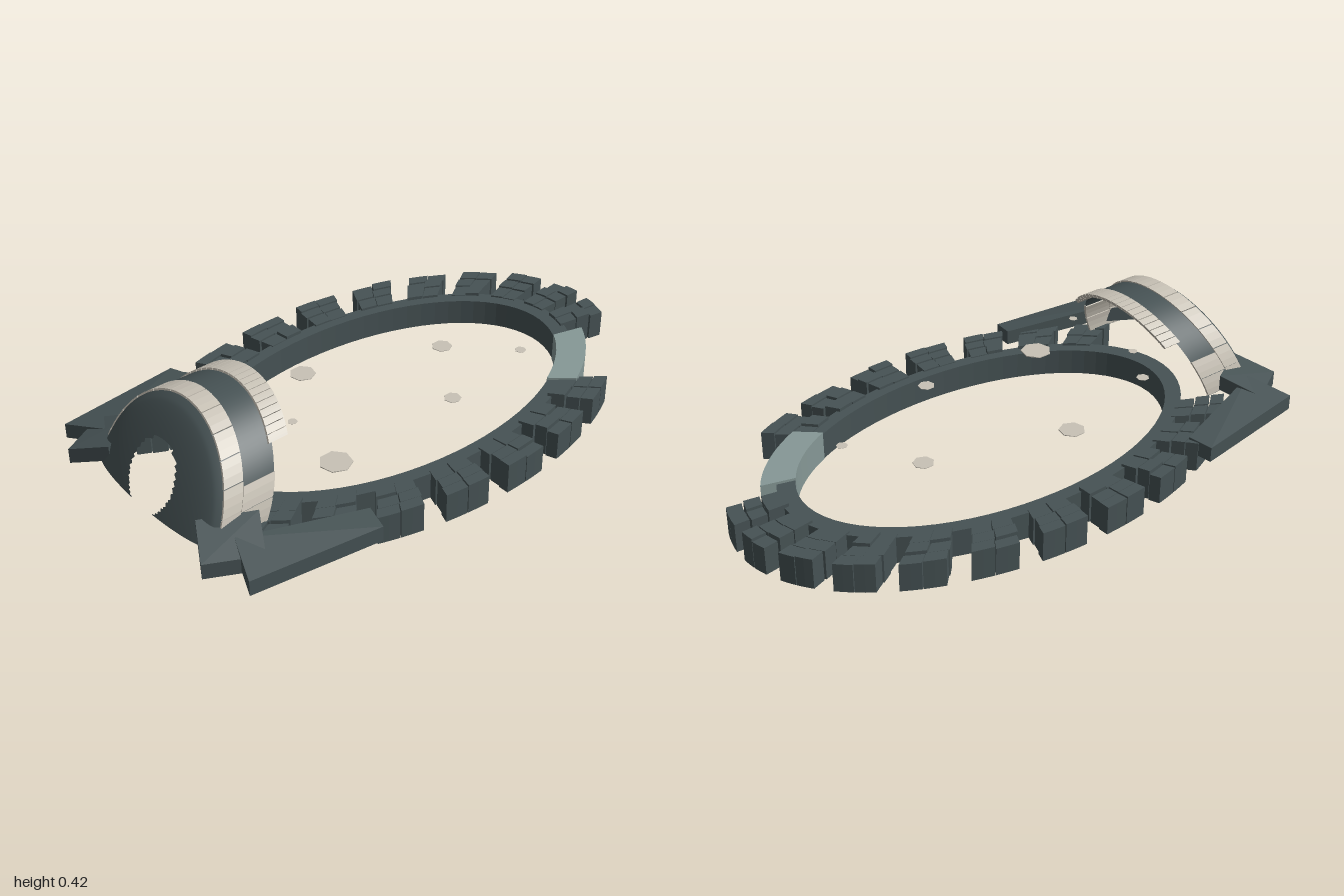
import * as THREE from 'three';
import { ConvexGeometry } from 'three/addons/geometries/ConvexGeometry.js';

const DEG = Math.PI / 180;
const dark = new THREE.MeshStandardMaterial({ color: 0x465254 });
const darkShell = new THREE.MeshStandardMaterial({ color: 0x465254, side: THREE.DoubleSide });
const pale = new THREE.MeshStandardMaterial({ color: 0x869896 });
const cream = new THREE.MeshStandardMaterial({ color: 0xc8c2b6 });

function add(parent, name, geometry, material) {
  const mesh = new THREE.Mesh(geometry, material);
  mesh.name = name;
  parent.add(mesh);
  return mesh;
}

// Point on the oval plan: s = 0 on the inner wall, 1 on the outer edge
function ovalPoint(deg, s) {
  const a = deg * DEG;
  return new THREE.Vector2(0.03 + (0.73 + 0.24 * s) * Math.cos(a), (0.43 + 0.175 * s) * Math.sin(a));
}

function ovalArc(a0, a1, s, n) {
  return Array.from({ length: n + 1 }, (_, i) => ovalPoint(a0 + (a1 - a0) * i / n, s));
}

function raise(shape, height) {
  const g = new THREE.ExtrudeGeometry(shape, { depth: height, bevelEnabled: false });
  return g.rotateX(-Math.PI / 2);
}

function ovalSector(a0, a1, s0, s1, height, n = 2) {
  return raise(new THREE.Shape([...ovalArc(a0, a1, s1, n), ...ovalArc(a1, a0, s0, n)]), height);
}

// The arch leans forward: x grows with height
const BASE = 0.1, RADIUS = 0.312, LEAN = 0.45;
function lean(g) {
  const p = g.attributes.position;
  for (let i = 0; i < p.count; i++) p.setX(i, p.getX(i) + LEAN * (p.getY(i) - BASE));
  g.computeVertexNormals();
  return g;
}

// Half-round sheet swept over an [x, radius] profile
function archSheet(profile, cols, rows) {
  const g = new THREE.PlaneGeometry(1, 1, cols, rows);
  const p = g.attributes.position;
  for (let i = 0; i < p.count; i++) {
    const a = (p.getX(i) + 0.5) * Math.PI;
    const [x, r] = profile(p.getY(i) + 0.5);
    p.setXYZ(i, x, BASE + r * Math.sin(a), r * Math.cos(a));
  }
  return g;
}

// Curved facing slab on the arch, from angle a0 to a1 and x0 to x1
function archPanel(a0, a1, x0, x1, ri, ro) {
  const pts = [];
  const n = 3;
  for (let i = 0; i <= n; i++) {
    const a = (a0 + (a1 - a0) * i / n) * DEG;
    pts.push(new THREE.Vector2(ro * Math.cos(a), ro * Math.sin(a)));
  }
  for (let i = n; i >= 0; i--) {
    const a = (a0 + (a1 - a0) * i / n) * DEG;
    pts.push(new THREE.Vector2(ri * Math.cos(a), ri * Math.sin(a)));
  }
  const g = new THREE.ExtrudeGeometry(new THREE.Shape(pts), { depth: x1 - x0, bevelEnabled: false });
  return lean(g.rotateY(Math.PI / 2).translate(x0, BASE, 0));
}

function slab(topCorners, thickness, side) {
  const pts = [];
  for (const [x, y, z] of topCorners) {
    pts.push(new THREE.Vector3(x, y, z * side), new THREE.Vector3(x, y - thickness, z * side));
  }
  return new ConvexGeometry(pts);
}

export function createModel() {
  const model = new THREE.Group();
  model.name = 'arena';

  // Inner oval wall
  const wall = new THREE.Shape(ovalArc(0, 360, 0.27, 72).slice(0, -1));
  wall.holes.push(new THREE.Path(ovalArc(360, 0, 0, 72).slice(0, -1)));
  add(model, 'innerWall', raise(wall, 0.097), dark);

  // Seating stands: three rows of two blocks, every 15 degrees
  const stands = new THREE.Group();
  stands.name = 'stands';
  model.add(stands);
  const rows = [[0.2, 0.5], [0.525, 0.755], [0.78, 1]];
  for (let angle = -145; angle <= 140; angle += 15) {
    if (angle === -25 || angle === -40) continue;
    const stand = new THREE.Group();
    stand.name = 'stand';
    stands.add(stand);
    rows.forEach(([s0, s1], r) => {
      for (const k of [0, 1]) {
        const start = angle - 5 + k * 5.1 + (r % 2) * 0.3;
        const height = 0.1 + 0.003 * ((r + k + Math.abs(angle)) % 4);
        add(stand, 'seatBlock', ovalSector(start, start + 4.9, s0, s1, height), dark);
      }
    });
  }

  // Smooth pale section of the stands
  add(model, 'paleStand', ovalSector(-51, -21, -0.01, 0.5, 0.106, 10), pale);

  // Leaning arch: barrel, and rounded back with a ragged round opening
  const arch = new THREE.Group();
  arch.name = 'arch';
  model.add(arch);
  add(arch, 'archBarrel', lean(archSheet(t => [-0.91 + 0.19 * t, RADIUS], 48, 4)), darkShell);

  const cap = archSheet(t => {
    const r = RADIUS * (0.01 + 0.99 * t);
    return [-0.91 - 0.055 * Math.sqrt(Math.max(0, 1 - (r / RADIUS) ** 2)), r];
  }, 60, 28);
  const p = cap.attributes.position, old = cap.index.array, kept = [];
  for (let i = 0; i < old.length; i += 6) {
    const quad = Array.from(old.slice(i, i + 6));
    const y = quad.reduce((sum, v) => sum + p.getY(v), 0) / 6;
    const z = quad.reduce((sum, v) => sum + p.getZ(v), 0) / 6;
    if (Math.hypot(y - 0.193, z) > 0.109) kept.push(...quad);
  }
  cap.setIndex(kept);
  add(arch, 'archBack', lean(cap), darkShell);

  // Cream facing: rear band, lower side panels, toothed front rim
  for (let i = 0; i < 12; i++) {
    add(arch, 'bandPanel', archPanel(i * 15 + 0.3, i * 15 + 14.7, -0.91, -0.84, RADIUS - 0.004, RADIUS + 0.006), cream);
  }
  for (const start of [1, 14.5, 153, 166.5]) {
    add(arch, 'sidePanel', archPanel(start, start + 12.8, -0.838, -0.72, RADIUS - 0.004, RADIUS + 0.005), cream);
  }
  for (let i = 0; i < 20; i++) {
    const a = 42 + i * 4.8;
    add(arch, 'rimTooth', archPanel(a + 0.2, a + 4.6, -0.735, -0.663, RADIUS - 0.008, RADIUS + 0.006), cream);
  }

  // Sloping slabs bracing the arch on both sides
  for (const side of [-1, 1]) {
    add(model, 'longButtress', slab([
      [-0.93, 0.115, 0.51], [-0.47, 0.108, 0.57], [-0.45, 0.118, 0.485], [-0.87, 0.15, 0.36],
    ], 0.055, side), dark);
    add(model, 'footBlock', slab([
      [-1, 0.125, 0.37], [-0.83, 0.125, 0.46], [-0.755, 0.177, 0.33], [-0.925, 0.172, 0.24],
    ], 0.055, side), dark);
  }

  // Floating stones: flat pale top on a dark tapering underside [x, y, z, radius]
  const stones = [
    [-0.16, 0.13, -0.215, 0.046], [0.34, 0.115, -0.045, 0.037], [-0.405, 0.145, 0.265, 0.056],
    [0.09, 0.172, 0.275, 0.03], [0.51, 0.138, 0.18, 0.02], [-0.515, 0.193, -0.185, 0.023],
    [-0.495, 0.29, -0.15, 0.016], [-0.495, 0.29, 0.165, 0.016],
  ];
  stones.forEach(([x, y, z, r], i) => {
    const stone = new THREE.Group();
    stone.name = 'floatingStone';
    stone.position.set(x, y, z);
    stone.rotation.y = i * 0.9;
    model.add(stone);
    const under = add(stone, 'stoneUnderside', new THREE.CylinderGeometry(r, r * 0.4, r * 0.3, 7), dark);
    under.material = new THREE.MeshStandardMaterial({ color: 0x465254, flatShading: true });
    under.position.y = -r * 0.18;
    add(stone, 'stoneTop', new THREE.CylinderGeometry(r, r, r * 0.06, 7), cream);
  });

  return model;
}
